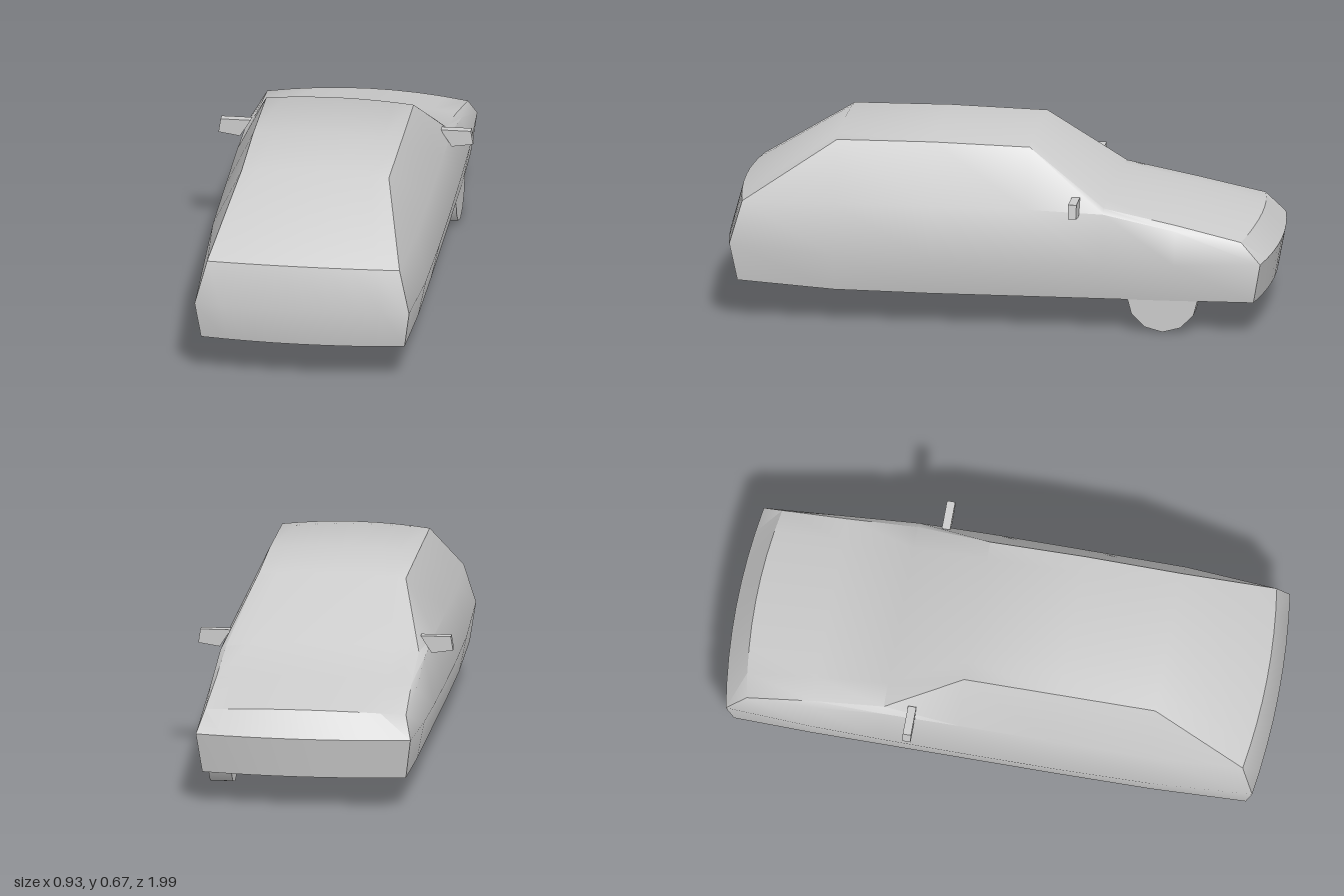
import * as THREE from 'three';
import { toCreasedNormals } from 'three/addons/utils/BufferGeometryUtils.js';

const grey = new THREE.MeshStandardMaterial({ color: 0xcccccc });
const COLS = [-1, -0.75, -0.5, -0.25, 0, 0.25, 0.5, 0.75, 1];

// Cross-sections from tail to nose. Each row is [half width, y, z].
const section = (z, bottom, waist, belt, edge, crown, bulge = 0) => {
  const row = ([w, y, rz = z]) => ({ w, y, z: rz });
  return { bottom: row(bottom), waist: row(waist), belt: row(belt), edge: row(edge), crown, bulge };
};
const SECTIONS = [
  section(0.93, [0.37, 0.145, 0.94], [0.39, 0.285, 0.967], [0.35, 0.435, 0.925], [0.35, 0.435, 0.925], 0.442, 0.027),
  section(0.59, [0.375, 0.122], [0.403, 0.255], [0.372, 0.44], [0.268, 0.653], 0.67),
  section(0.24, [0.376, 0.118], [0.407, 0.25], [0.373, 0.44], [0.27, 0.655], 0.67),
  section(-0.11, [0.376, 0.118], [0.407, 0.25], [0.373, 0.44], [0.268, 0.646], 0.66),
  section(-0.39, [0.376, 0.118], [0.405, 0.25], [0.372, 0.43], [0.35, 0.447], 0.47),
  section(-0.65, [0.376, 0.118], [0.402, 0.255], [0.373, 0.375], [0.355, 0.394], 0.415),
  section(-0.9, [0.37, 0.118, -0.935], [0.39, 0.265, -0.962], [0.365, 0.34, -0.89], [0.365, 0.34, -0.89], 0.356, -0.032),
];

// Point across a row; rows bow outward at the ends and the top row is crowned
function across(s, row, u) {
  const k = 1 - u * u;
  const rise = row === s.edge ? (s.crown - row.y) * k : 0;
  return [row.w * u, row.y + rise, row.z + s.bulge * k];
}

// Closed loop: up the +x side, over the top, down the -x side, back underneath
function ring(s) {
  const side = [s.bottom, s.waist, s.belt];
  return [
    ...side.map(r => across(s, r, 1)),
    ...[...COLS].reverse().map(u => across(s, s.edge, u)),
    ...side.reverse().map(r => across(s, r, -1)),
    ...COLS.slice(1, -1).map(u => across(s, s.bottom, u)),
  ];
}

function bodyGeometry() {
  const pos = [];
  const quad = (a, b, c, d) => pos.push(...a, ...b, ...c, ...b, ...d, ...c);
  // Skin between neighbouring sections
  const rings = SECTIONS.map(ring);
  for (let i = 0; i < rings.length - 1; i++) {
    const p = rings[i], q = rings[i + 1], n = p.length;
    for (let j = 0; j < n; j++) {
      const k = (j + 1) % n;
      quad(p[j], q[j], p[k], q[k]);
    }
  }
  // Folded tail and nose panels
  for (const s of [SECTIONS[0], SECTIONS[SECTIONS.length - 1]]) {
    const rows = [s.bottom, s.waist, s.edge].map(r => COLS.map(u => across(s, r, u)));
    for (let r = 0; r < 2; r++) {
      for (let c = 0; c < COLS.length - 1; c++) {
        const a = rows[r][c], b = rows[r][c + 1], d = rows[r + 1][c], e = rows[r + 1][c + 1];
        if (s.bulge > 0) quad(a, b, d, e);
        else quad(b, a, e, d);
      }
    }
  }
  const g = new THREE.BufferGeometry();
  g.setAttribute('position', new THREE.Float32BufferAttribute(pos, 3));
  return toCreasedNormals(g, 0.6);
}

function add(group, name, geometry, x = 0, y = 0, z = 0) {
  const mesh = new THREE.Mesh(geometry, grey);
  mesh.name = name;
  mesh.position.set(x, y, z);
  group.add(mesh);
}

export function createModel() {
  const car = new THREE.Group();
  car.name = 'car';
  add(car, 'body', bodyGeometry());

  // Wing mirrors
  for (const side of [1, -1]) {
    const outline = [[0.345, 0.484], [0.385, 0.421], [0.463, 0.433], [0.455, 0.484]];
    const shape = new THREE.Shape(outline.map(([x, y]) => new THREE.Vector2(x * side, y)));
    const mirror = new THREE.ExtrudeGeometry(shape, { depth: 0.03, bevelEnabled: false });
    add(car, side > 0 ? 'leftMirror' : 'rightMirror', mirror, 0, 0, -0.302);
  }

  // Single wheel under the bonnet
  const wheel = new THREE.CylinderGeometry(0.13, 0.13, 0.083, 12).rotateZ(Math.PI / 2);
  add(car, 'wheel', wheel, 0.333, 0.13, -0.605);
  return car;
}
